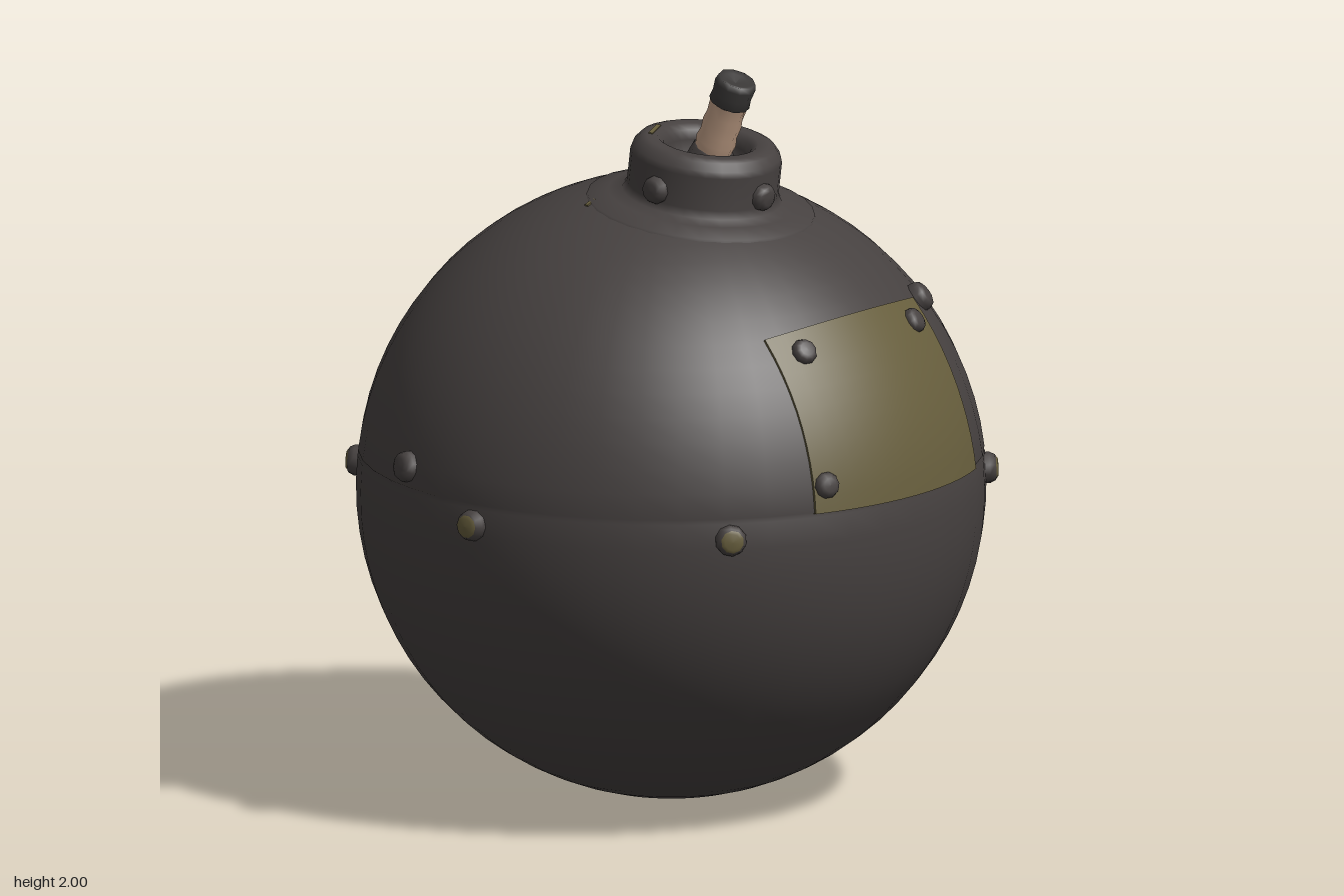
import * as THREE from 'three';

const R = 0.84;          // ball radius, also its centre height
const TILT = 0.13;       // collar leans forward

const mat = (name, color) => {
  const m = new THREE.MeshStandardMaterial({ color });
  m.name = name;
  return m;
};
const V2 = (pts) => pts.map(([x, y]) => new THREE.Vector2(x, y));

export function createModel() {
  const iron = mat('dark iron', 0x464140);
  const olive = mat('olive paint', 0x665d3c);
  const cord = mat('beige cord', 0xc2a087);
  const char = mat('charred tip', 0x3b3938);

  const model = new THREE.Group();
  model.name = 'bomb';
  const add = (parent, name, geo, material) => {
    const m = new THREE.Mesh(geo, material);
    m.name = name;
    parent.add(m);
    return m;
  };
  const lathe = (pts, seg) => new THREE.LatheGeometry(V2(pts), seg);

  // ball centred on the origin of this group
  const ball = new THREE.Group();
  ball.name = 'ball';
  ball.position.y = R;
  model.add(ball);

  // shell, with a fine groove where the two halves meet
  const seamY = 0.09, seamA = Math.asin(seamY / R);
  const shell = [];
  const arc = (a, b, n) => {
    for (let i = 0; i <= n; i++) {
      const t = a + (b - a) * i / n;
      shell.push([Math.max(0, R * Math.cos(t)), R * Math.sin(t)]);
    }
  };
  arc(-Math.PI / 2, seamA - 0.008, 20);
  shell.push([R * Math.cos(seamA) - 0.008, seamY]);
  arc(seamA + 0.008, Math.PI / 2, 18);
  add(ball, 'shell', lathe(shell, 44), iron);

  // painted plate, bent from a box onto the ball
  const plate = new THREE.BoxGeometry(1, 1, 1, 12, 10, 1);
  const p = plate.attributes.position;
  for (let i = 0; i < p.count; i++) {
    const u = p.getX(i) * 2, v = p.getY(i) + 0.5;
    const r = p.getZ(i) > 0 ? R + 0.008 : R - 0.01;
    const x = u * (0.335 - 0.025 * v);
    const y = 0.093 + v * (0.465 - 0.025 * u * u);
    const dir = new THREE.Vector3(x, y, Math.sqrt(R * R - x * x - y * y)).setLength(r);
    p.setXYZ(i, dir.x, dir.y, dir.z);
  }
  plate.computeVertexNormals();
  add(ball, 'frontPlate', plate, olive);

  // rivets: a bevelled dome, some with a worn olive face
  const dome = lathe([[0.043, -0.02], [0.042, 0.01], [0.035, 0.024], [0.022, 0.03], [0, 0.031]], 10);
  const face = lathe([[0.031, 0.0265], [0.022, 0.032], [0, 0.033]], 10);
  const up = new THREE.Vector3(0, 1, 0);
  const rivet = (parent, pos, normal, worn, scale = 1) => {
    const g = new THREE.Group();
    g.name = 'rivet';
    g.position.copy(pos);
    g.quaternion.setFromUnitVectors(up, normal.clone().normalize());
    g.scale.setScalar(scale);
    add(g, 'rivetDome', dome, iron);
    if (worn) add(g, 'rivetFace', face, olive);
    parent.add(g);
  };
  // azimuth in degrees from the front, height above the ball centre
  const onBall = (az, y, r = R) => {
    const a = THREE.MathUtils.degToRad(az), h = Math.sqrt(R * R - y * y);
    return new THREE.Vector3(Math.sin(a) * h, y, Math.cos(a) * h).setLength(r);
  };
  for (const [az, y, worn] of [
    [40, 0.04, true], [-40, 0.04, true], [90, 0.04, false], [-90, 0.04, true],
    [109, 0.15, true], [-109, 0.15, false], [147.5, 0.04, true], [-147.5, 0.04, true],
    [180, 0.04, true], [35, 0.52, false],
  ]) {
    const n = onBall(az, y);
    rivet(ball, n, n, worn);
  }
  for (const [x, y] of [[-0.23, 0.495], [0.23, 0.495], [-0.295, 0.165]]) {
    const n = new THREE.Vector3(x, y, Math.sqrt(R * R - x * x - y * y));
    rivet(ball, n.clone().setLength(R + 0.003), n, false, 0.85);
  }

  // small paint chips
  const chip = new THREE.BoxGeometry(0.035, 0.006, 0.012);
  for (const [az, y] of [[66, 0.095], [79, 0.095], [-108, 0.8], [127, 0.8]]) {
    const n = onBall(az, y, R + 0.001);
    const m = add(ball, 'paintChip', chip, olive);
    m.position.copy(n);
    m.quaternion.setFromUnitVectors(up, n.clone().normalize());
  }

  // collar with a low flange and a hollow mouth
  const neck = new THREE.Group();
  neck.name = 'neck';
  neck.rotation.x = TILT;
  ball.add(neck);
  add(neck, 'collar', lathe([
    [0.31, 0.77], [0.305, 0.788], [0.25, 0.805], [0.215, 0.815], [0.203, 0.835],
    [0.203, 0.925], [0.198, 0.942], [0.182, 0.962], [0.165, 0.969], [0.135, 0.968],
    [0.118, 0.955], [0.11, 0.93], [0.105, 0.87], [0, 0.865],
  ], 28), iron);
  for (let i = 0; i < 4; i++) {
    const a = i * Math.PI / 2;
    const n = new THREE.Vector3(Math.sin(a), 0, Math.cos(a));
    rivet(neck, n.clone().multiplyScalar(0.2).setY(0.865), n, i === 1, 0.9);
  }
  const scratch = add(neck, 'collarScratch', new THREE.BoxGeometry(0.08, 0.005, 0.012), olive);
  scratch.position.set(-0.06, 0.969, -0.135);
  scratch.rotation.y = 0.4;

  // fuse leaning further forward, with a burnt end
  const fuse = new THREE.Group();
  fuse.name = 'fuse';
  fuse.position.set(0, 1.7, 0.113);
  fuse.rotation.x = THREE.MathUtils.degToRad(22);
  model.add(fuse);
  add(fuse, 'fuseSocket', lathe([[0.085, -0.02], [0.066, 0.035], [0.056, 0.085], [0.045, 0.088]], 9), iron);
  add(fuse, 'fuseCord', lathe([
    [0.05, 0], [0.051, 0.09], [0.055, 0.11], [0.05, 0.135], [0.053, 0.165], [0.049, 0.19], [0.052, 0.235],
  ], 10), cord);
  add(fuse, 'fuseTip', lathe([
    [0.048, 0.225], [0.056, 0.23], [0.053, 0.255], [0.056, 0.285], [0.051, 0.302], [0.035, 0.298], [0, 0.29],
  ], 10), char);

  return model;
}
